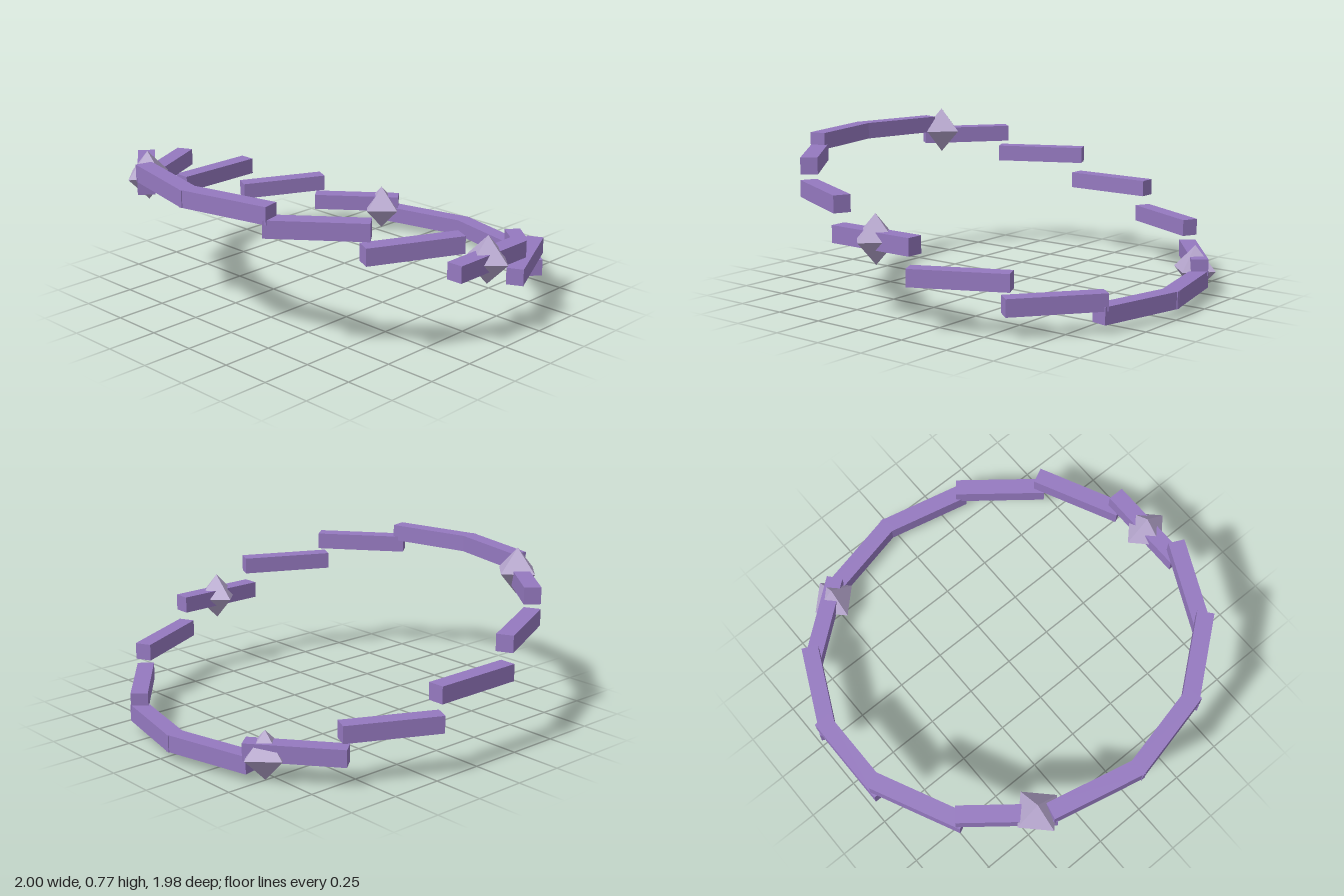
import * as THREE from 'three';

export function createModel() {
  const model = new THREE.Group();
  model.name = 'tiltedRing';

  const purple = new THREE.MeshStandardMaterial({ color: 0x9579c0, flatShading: true });
  purple.name = 'purple';
  const lilac = new THREE.MeshStandardMaterial({ color: 0xb5a5cd, flatShading: true });
  lilac.name = 'paleLilac';

  const radius = 0.921, rise = 0.313, centreX = -0.038, centreY = 0.387;

  // Places a part on the ring; the ring climbs towards the front
  const place = (geometry, material, name, angle, turn) => {
    const mesh = new THREE.Mesh(geometry, material);
    mesh.name = name;
    mesh.position.set(
      centreX + radius * Math.cos(angle),
      centreY + rise * Math.sin(angle),
      radius * Math.sin(angle)
    );
    mesh.rotation.y = turn;
    model.add(mesh);
  };

  // Level bars, stepped in height around the ring
  const bar = new THREE.BoxGeometry(0.081, 0.081, 0.457);
  const count = 14;
  for (let i = 0; i < count; i++) {
    const a = (i / count) * Math.PI * 2;
    place(bar, purple, `ringBar${i + 1}`, a, -a);
  }

  // Three crystals, evenly spaced
  const crystal = new THREE.OctahedronGeometry(0.116);
  for (let i = 0; i < 3; i++) {
    place(crystal, lilac, `crystal${i + 1}`, (i / 3) * Math.PI * 2, 0);
  }

  return model;
}
